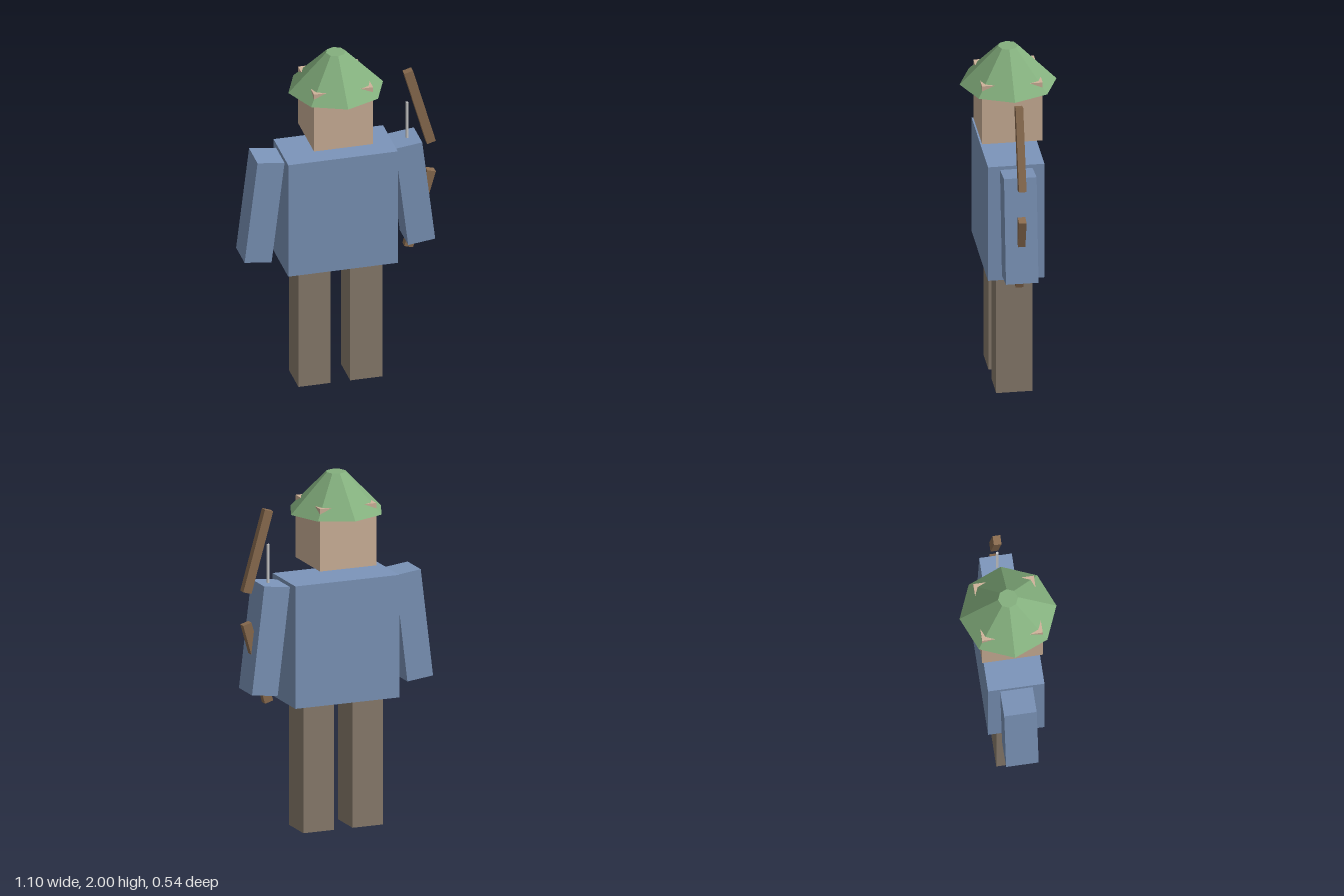
import * as THREE from 'three';

const material = (color) => new THREE.MeshStandardMaterial({ color, flatShading: true });

export function createModel() {
  const model = new THREE.Group();
  model.name = 'archer';
  const skin = material(0xcfb39a);
  const cloth = material(0x7c95ba);
  const trousers = material(0x8a7d6e);
  const felt = material(0x84b07e);
  const wood = material(0x8a6c50);
  const cord = material(0xcccccc);
  const midX = -0.0125; // body axis, offset by the bow on the left

  const add = (name, geometry, mat, x, y, z = 0, tilt = 0) => {
    const mesh = new THREE.Mesh(geometry, mat);
    mesh.name = name;
    mesh.position.set(x, y, z);
    mesh.rotation.z = tilt;
    model.add(mesh);
    return mesh;
  };
  const box = (w, h, d) => new THREE.BoxGeometry(w, h, d);

  // Torso and head; the head's top corners poke through the hat
  add('torso', box(0.62, 0.693, 0.312), cloth, midX, 1.0715);
  add('head', box(0.335, 0.353, 0.335), skin, midX, 1.6665);

  // Eight-sided hat
  add('hat', new THREE.CylinderGeometry(0.055, 0.268, 0.22, 8), felt, midX, 1.89);

  // Arms and legs
  for (const [side, s] of [['left', 1], ['right', -1]]) {
    add(side + 'Leg', box(0.182, 0.725, 0.2), trousers, midX + s * 0.1465, 0.3625);
    add(side + 'Arm', box(0.154, 0.613, 0.18), cloth, midX + s * 0.4265, 1.104, 0, s * 0.12);
  }

  // Bow held at the left arm: two limbs mirrored about the grip height, and a string
  const gripY = 1.283;
  for (const [end, s] of [['upper', 1], ['lower', -1]]) {
    add(end + 'BowLimb', box(0.051, 0.472, 0.042), wood, 0.46, gripY + s * 0.315, 0, s * 0.278);
  }
  add('bowString', box(0.013, 0.694, 0.013), cord, 0.392, gripY);

  return model;
}
